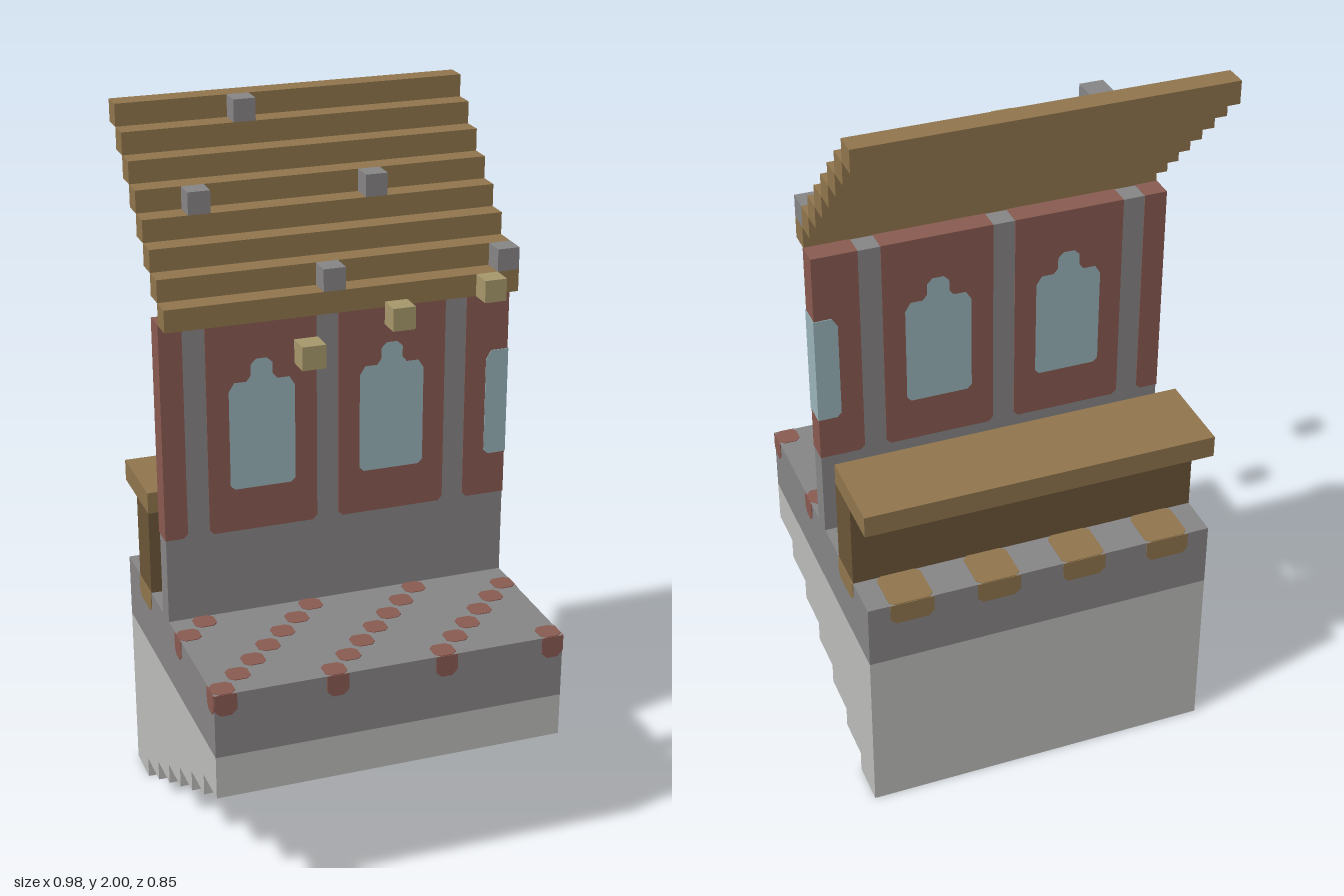
import * as THREE from 'three';

const U = 2 / 33; // one block
const colour = (name, hex) => {
  const m = new THREE.MeshStandardMaterial({ color: hex });
  m.name = name;
  m.flatShading = true;
  return m;
};

export function createModel() {
  const model = new THREE.Group();
  model.name = 'marketStall';
  const paleStone = colour('pale stone', 0xbdbebb);
  const stone = colour('grey stone', 0x888687);
  const brick = colour('red brick', 0x8a5b51);
  const glass = colour('blue glass', 0x9bb5bb);
  const wood = colour('brown wood', 0x91764d);
  const darkWood = colour('dark wood', 0x6b5638);
  const straw = colour('straw yellow', 0xa8996b);

  const add = (name, geo, mat) => {
    const mesh = new THREE.Mesh(geo, mat);
    mesh.name = name;
    model.add(mesh);
    return mesh;
  };
  // Box given by its low corner and its size, in blocks
  const block = (name, mat, x, y, z, w = 1, h = 1, d = 1) =>
    add(name, new THREE.BoxGeometry(w * U, h * U, d * U)
      .translate((x + w / 2) * U, (y + h / 2) * U, (z + d / 2) * U), mat);
  // Outline in blocks, extruded by a depth in units
  const extrude = (points, depth, holes = []) => {
    const vec = (list) => list.map(([x, y]) => new THREE.Vector2(x * U, y * U));
    const shape = new THREE.Shape(vec(points));
    for (const h of holes) shape.holes.push(new THREE.Path(vec(h)));
    return new THREE.ExtrudeGeometry(shape, { depth, bevelEnabled: false });
  };
  // Rectangle with cut bottom corners (b) and top corners (t)
  const cutRect = (x0, y0, x1, y1, b, t) => {
    const p = [[x0 + b, y0], [x1 - b, y0]];
    if (b) p.push([x1, y0 + b]);
    p.push([x1, y1 - t]);
    if (t) p.push([x1 - t, y1], [x0 + t, y1]);
    p.push([x0, y1 - t]);
    if (b) p.push([x0, y0 + b]);
    return p;
  };

  // Stepped foundation
  const profile = [[-7, 8], [7, 8], [7, 0]];
  for (let i = 0; i < 7; i++) {
    if (i) profile.push([5 - 2 * (i - 1), i]);
    profile.push([5 - 2 * i, i]);
  }
  add('steppedFoundation', extrude(profile.reverse(), 16 * U)
    .rotateY(Math.PI / 2).translate(-8 * U, 0, 0), paleStone);

  // Floor
  block('floor', stone, -8, 8, -7, 16, 3, 14);

  // Thin inlays on the top and sides of the floor
  const thin = 0.002;
  const topTile = (name, mat, x, z, s) => add(name,
    extrude(cutRect(x, -z - s, x + s, -z, 0.22, 0.22), thin)
      .rotateX(-Math.PI / 2).translate(0, 11 * U, 0), mat);
  // a and b run along the edge, seen from outside
  const edgeTile = (name, mat, angle, a, b, dist) => add(name,
    extrude(cutRect(a, 10, b, 11, 0.25, 0), thin)
      .translate(0, 0, dist * U).rotateY(angle), mat);
  const sideTiles = (name, mat, z, s) => {
    edgeTile(name, mat, Math.PI / 2, -z - s, -z, 8);
    edgeTile(name, mat, -Math.PI / 2, z, z + s, 8);
  };

  // Diagonal red tiles
  for (let z = -3; z < 7; z++) {
    if (z === -1) continue;
    for (let x = -8; x < 8; x++) {
      if ((x + z + 17) % 5) continue;
      topTile('redFloorTile', brick, x, z, 1);
      if (z === 6) edgeTile('redEdgeTile', brick, 0, x, x + 1, 7);
    }
  }
  for (const z of [1, 6]) sideTiles('redSideTile', brick, z, 1);

  // Wooden inlays along the back
  for (const x of [-7, -3, 1, 5]) {
    topTile('woodFloorTile', wood, x, -7, 2);
    edgeTile('woodEdgeTile', wood, Math.PI, -x - 2, -x, 7);
  }
  sideTiles('woodSideTile', wood, -5, 2);

  // Stone wall with its pillars
  block('stoneWall', stone, -8, 11, -1, 16, 14, 1);

  // Red panels and windows run through the wall, just proud of it
  const through = (name, mat, points, e, holes) => add(name,
    extrude(points, U + 2 * e, holes).translate(0, 0, -U - e), mat);
  const arch = (cx) => {
    const half = [[1.3, 17], [1.5, 17.2], [1.5, 21.6], [1.25, 22],
      [0.7, 22], [0.5, 22.25], [0.5, 22.75], [0.25, 23]];
    return [...half.map(([x, y]) => [cx + x, y]),
      ...half.reverse().map(([x, y]) => [cx - x, y])];
  };
  const p = 0.03; // overhang past the wall ends and top
  const top = 25 + p;
  through('redPanel', brick, [[-8 - p, 15], [-7.2, 15], [-7, 15.2], [-7, top], [-8 - p, top]], thin);
  for (const x of [-6, 0]) {
    through('redPanel', brick, cutRect(x, 15, x + 5, top, 0.2, 0), thin, [arch(x + 2.5)]);
    through('archedWindow', glass, arch(x + 2.5), thin);
  }
  through('redPanel', brick, [[6.2, 15], [8 + p, 15], [8 + p, top], [6, top], [6, 15.2]], thin);
  through('cutWindow', glass, [[7.2, 17], [8 + 2 * p, 17], [8 + 2 * p, 22],
    [7.25, 22], [7, 21.6], [7, 17.2]], 2 * thin);

  // Counter
  block('counterBody', darkWood, -8, 11, -5, 16, 4, 2);
  block('counterTop', wood, -8, 15, -7, 16, 1, 4);

  // Stepped roof
  for (let i = 0; i < 8; i++) block('roofStep', wood, -8, 25 + i, -i, 16, 1, 1);

  // Loose stones on the roof and hanging lamps below it
  for (const [x, y, z] of [[-1, 26, 0], [7, 26, 0], [-6, 29, -3], [2, 29, -3], [-3, 32, -6]])
    block('roofStone', stone, x, y, z);
  for (const [x, z] of [[-4, 6], [1, 3], [6, 1]]) block('lamp', straw, x, 25, z);

  return model;
}
